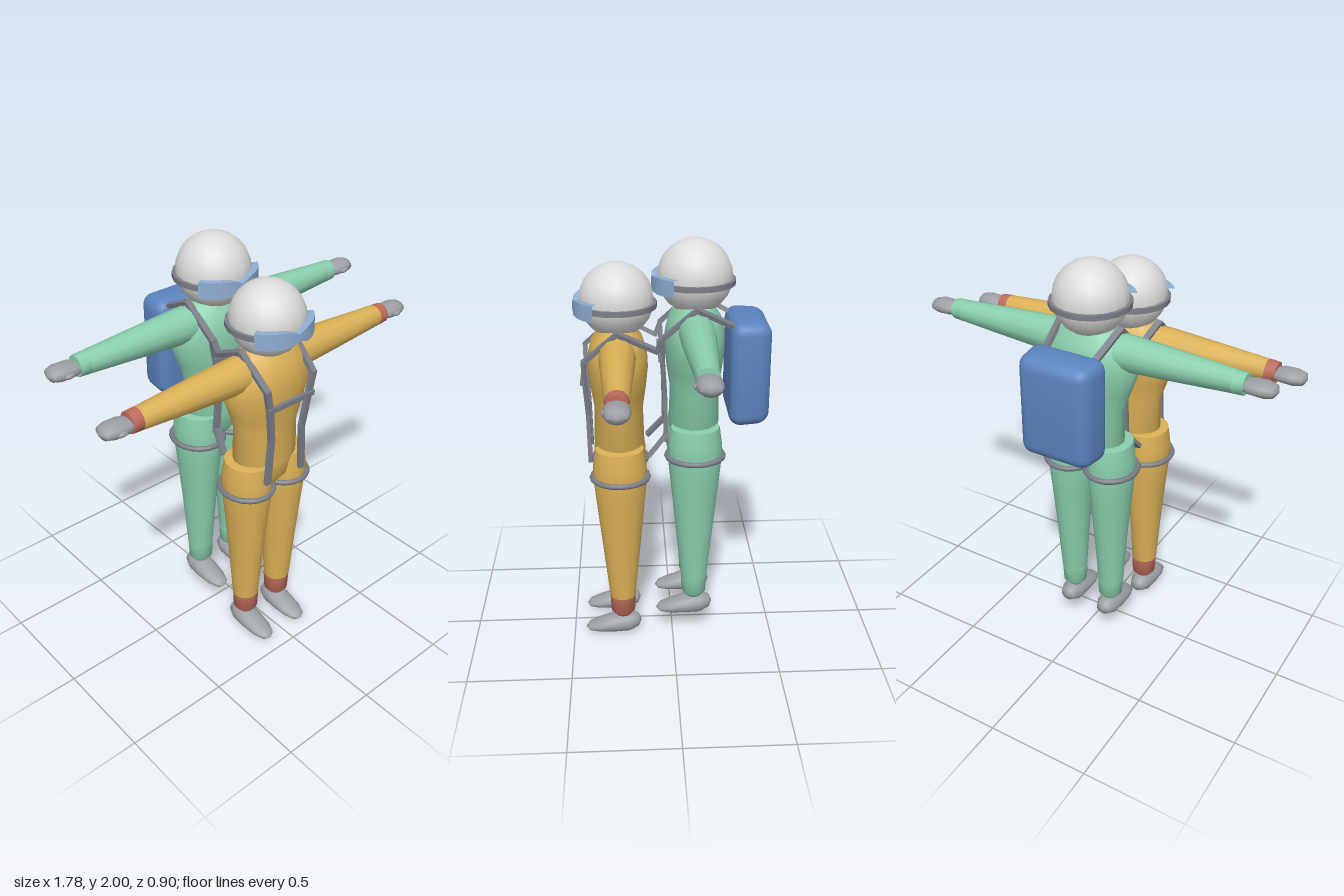
import * as THREE from 'three';
import { toCreasedNormals } from 'three/addons/utils/BufferGeometryUtils.js';
import { RoundedBoxGeometry } from 'three/addons/geometries/RoundedBoxGeometry.js';

const material = (name, color) => {
  const m = new THREE.MeshStandardMaterial({ color });
  m.name = name;
  return m;
};

// Stack of elliptical sections along y: [y, radiusX, radiusZ, centreZ]
function loft(sections, sides = 16, crease = 0.75) {
  const geo = new THREE.LatheGeometry(sections.map(([y, rx]) => new THREE.Vector2(rx, y)), sides);
  const p = geo.attributes.position;
  for (let i = 0; i < p.count; i++) {
    const [, rx, rz = rx, cz = 0] = sections[i % sections.length];
    p.setZ(i, (rx > 0 ? (p.getZ(i) / rx) * rz : 0) + cz);
  }
  return toCreasedNormals(geo, crease);
}

// Rectangular band swept round the y axis, centred on +z
function band(inner, outer, height, start, length, steps) {
  const h = height / 2;
  const pts = [[inner, -h], [outer, -h], [outer, h], [inner, h], [inner, -h]];
  return new THREE.LatheGeometry(pts.map(([x, y]) => new THREE.Vector2(x, y)), steps, start, length);
}

function add(parent, name, geo, mat, x = 0, y = 0, z = 0) {
  const mesh = new THREE.Mesh(geo, mat);
  mesh.name = name;
  mesh.position.set(x, y, z);
  parent.add(mesh);
  return mesh;
}

// Flat webbing along a polyline
function webbing(parent, name, points, mat, width = 0.03, thick = 0.02) {
  for (let i = 0; i < points.length - 1; i++) {
    const a = new THREE.Vector3(...points[i]);
    const b = new THREE.Vector3(...points[i + 1]);
    const mesh = new THREE.Mesh(new THREE.BoxGeometry(width, thick, a.distanceTo(b) + 0.012), mat);
    mesh.name = name;
    mesh.up.set(0, 0, 1);
    mesh.position.copy(a).lerp(b, 0.5);
    mesh.lookAt(b);
    parent.add(mesh);
  }
}

function makeJumper(name, suit, cuff, mats) {
  const { helmet, lens, strap, glove } = mats;
  const g = new THREE.Group();
  g.name = name;

  // Torso with pelvis and neck
  add(g, 'torso', loft([
    [0.88, 0], [0.885, 0.04, 0.07], [0.94, 0.12, 0.11], [1.03, 0.168, 0.12], [1.2, 0.166, 0.115],
    [1.3, 0.2, 0.13], [1.4, 0.236, 0.141], [1.47, 0.23, 0.138], [1.54, 0.195, 0.12],
    [1.585, 0.15, 0.09], [1.63, 0.07, 0.065], [1.66, 0],
  ], 18), suit);

  // Head and goggles
  add(g, 'helmet', new THREE.SphereGeometry(0.172, 18, 12), helmet, 0, 1.723, 0);
  const lensGeo = band(0.15, 0.203, 0.076, -1.02, 2.04, 8);
  const p = lensGeo.attributes.position;
  for (let i = 0; i < p.count; i++) {
    const pinch = Math.max(0, 1 - Math.abs(p.getX(i)) / 0.06);
    p.setY(i, p.getY(i) * (1 - 0.6 * pinch));
  }
  const lensMesh = add(g, 'goggleLens', toCreasedNormals(lensGeo, 0.3), lens, 0, 1.702, 0);
  lensMesh.scale.z = 0.985;
  add(g, 'goggleStrap', toCreasedNormals(band(0.16, 0.186, 0.024, 0, Math.PI * 2, 20), 0.6), strap, 0, 1.702, 0);

  const legGeo = loft([
    [0.215, 0], [0.22, 0.064], [0.5, 0.08, 0.092], [0.75, 0.1, 0.117],
    [0.88, 0.114, 0.129], [0.95, 0.112, 0.127], [1.03, 0.1, 0.115], [1.037, 0],
  ]);
  const legCuffGeo = loft([[0.1, 0], [0.105, 0.04], [0.13, 0.06], [0.22, 0.0645], [0.225, 0]]);
  const shoeGeo = loft([
    [-0.092, 0, 0, -0.062], [-0.078, 0.036, 0.032, -0.061], [-0.03, 0.057, 0.053, -0.057],
    [0.04, 0.061, 0.048, -0.051], [0.12, 0.054, 0.031, -0.038], [0.172, 0.036, 0.019, -0.031],
    [0.192, 0, 0, -0.028],
  ], 14, 1).rotateX(Math.PI / 2);
  const sleeveGeo = loft([[0.1, 0], [0.11, 0.085], [0.22, 0.082], [0.45, 0.068], [0.7, 0.0515], [0.701, 0]], 12)
    .rotateZ(-Math.PI / 2);
  const armCuffGeo = loft([[0.699, 0], [0.7, 0.052], [0.75, 0.049], [0.751, 0]], 12).rotateZ(-Math.PI / 2);
  const handGeo = loft([
    [0.735, 0], [0.74, 0.024, 0.045], [0.775, 0.033, 0.056], [0.835, 0.036, 0.056],
    [0.873, 0.027, 0.043], [0.89, 0],
  ], 12, 1).rotateZ(-Math.PI / 2);

  for (const s of [1, -1]) {
    const side = s > 0 ? 'left' : 'right';
    // Leg and foot
    add(g, side + 'Leg', legGeo, suit, s * 0.108);
    add(g, side + 'LegCuff', legCuffGeo, cuff, s * 0.106);
    add(g, side + 'Shoe', shoeGeo, glove, s * 0.107);

    // Arm and hand
    const arm = new THREE.Group();
    arm.name = side + 'Arm';
    arm.position.y = 1.502;
    arm.rotation.y = s > 0 ? 0 : Math.PI;
    add(arm, 'sleeve', sleeveGeo, suit);
    add(arm, 'wristCuff', armCuffGeo, cuff);
    add(arm, 'hand', handGeo, glove);
    g.add(arm);
    const thumb = add(g, side + 'Thumb', new THREE.SphereGeometry(0.014, 8, 6), glove, s * 0.81, 1.498, 0.05);
    thumb.scale.set(1.9, 0.9, 1);

    // Harness: shoulder webbing and leg loop
    webbing(g, side + 'ShoulderStrap', [
      [s * 0.125, 1.515, -0.18], [s * 0.15, 1.605, 0], [s * 0.137, 1.47, 0.155],
      [s * 0.115, 1.36, 0.152], [s * 0.093, 1.2, 0.142], [s * 0.106, 0.97, 0.138],
    ], strap);
    const loop = add(g, side + 'LegLoop',
      new THREE.TorusGeometry(0.122, 0.013, 8, 20).rotateX(Math.PI / 2), strap, s * 0.11, 0.885, 0);
    loop.scale.z = 1.09;
  }
  add(g, 'chestStrap', new THREE.BoxGeometry(0.275, 0.024, 0.018), strap, 0, 1.372, 0.162);
  return g;
}

export function createModel() {
  const model = new THREE.Group();
  model.name = 'tandemJumpers';
  const mats = {
    helmet: material('helmet white', 0xdcdcda),
    lens: material('lens blue', 0x8fadd2),
    strap: material('webbing grey', 0x7c7e88),
    glove: material('glove grey', 0x9da0a5),
  };
  const yellow = material('suit yellow', 0xdcb157);
  const red = material('cuff red', 0xbd6c5b);
  const green = material('suit green', 0x8acfae);
  const blue = material('pack blue', 0x5c84c0);

  const front = makeJumper('frontJumper', yellow, red, mats);
  front.position.set(0, 0, 0.25);
  const back = makeJumper('backJumper', green, green, mats);
  back.position.set(0, 0.105, -0.108);
  model.add(front, back);

  // Webbing joining the two harnesses
  for (const s of [1, -1]) {
    webbing(model, 'lowerLink', [[s * 0.105, 1.1, 0.025], [s * 0.13, 1.0, 0.11]], mats.strap);
    webbing(model, 'upperLink', [[s * 0.135, 1.575, 0.045], [s * 0.125, 1.515, 0.07]], mats.strap);
  }

  // Parachute pack, narrower towards the rear
  const packGeo = new RoundedBoxGeometry(0.375, 0.495, 0.19, 3, 0.055);
  const p = packGeo.attributes.position;
  for (let i = 0; i < p.count; i++) {
    const rear = Math.max(0, -p.getZ(i) / 0.095);
    p.setX(i, p.getX(i) * (1 - 0.1 * rear));
    p.setY(i, p.getY(i) * (1 - 0.04 * rear));
  }
  packGeo.computeVertexNormals();
  add(model, 'parachutePack', toCreasedNormals(packGeo, 0.7), blue, 0, 1.4, -0.355);
  return model;
}
